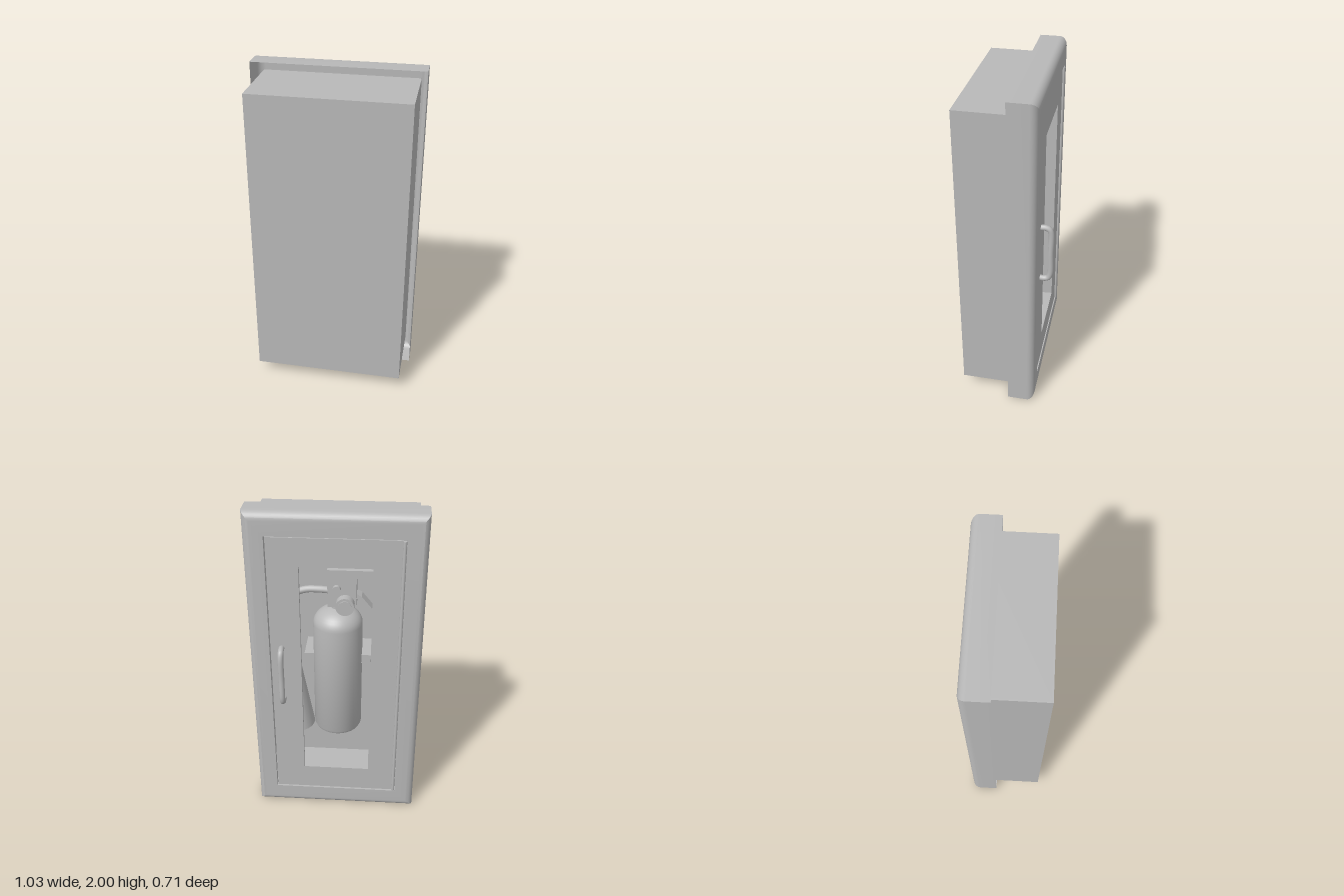
import * as THREE from 'three';
import { toCreasedNormals } from 'three/addons/utils/BufferGeometryUtils.js';

const CX = -0.0105; // centre line of the cabinet

export function createModel() {
  const grey = new THREE.MeshStandardMaterial({ color: 0xb8b8b8, side: THREE.DoubleSide });
  grey.name = 'plain grey';

  const model = new THREE.Group();
  model.name = 'extinguisherCabinet';
  const cabinet = new THREE.Group();
  cabinet.name = 'cabinet';
  cabinet.rotation.y = Math.PI + Math.PI / 12; // the door looks to the back, turned 15 degrees
  model.add(cabinet);

  const add = (name, geometry, x = 0, y = 0, z = 0) => {
    const mesh = new THREE.Mesh(geometry, grey);
    mesh.name = name;
    mesh.position.set(x, y, z);
    cabinet.add(mesh);
    return mesh;
  };
  const box = (name, x0, x1, y0, y1, z0, z1) =>
    add(name, new THREE.BoxGeometry(x1 - x0, y1 - y0, z1 - z0), (x0 + x1) / 2, (y0 + y1) / 2, (z0 + z1) / 2);
  const tube = (name, points, radius) => {
    const curve = new THREE.CatmullRomCurve3(points.map((p) => new THREE.Vector3(...p)), false, 'centripetal');
    return add(name, new THREE.TubeGeometry(curve, 48, radius, 14));
  };
  const lathe = (name, profile, x, y, z) =>
    add(name, toCreasedNormals(new THREE.LatheGeometry(profile.map((p) => new THREE.Vector2(...p)), 48), 0.6), x, y, z);

  // Recessed tub, open towards the door
  const [L, R, B, T, zb, zf] = [CX - 0.458, CX + 0.458, 0.09, 1.915, -0.243, 0.195];
  const t = 0.01;
  box('tubBack', L, R, B, T, zb, zb + t);
  box('tubSideRight', L, L + t, B, T, zb, zf);
  box('tubSideLeft', R - t, R, B, T, zb, zf);
  box('tubFloor', L, R, B, B + t, zb, zf);
  box('tubRoof', L, R, T - t, T, zb, zf);

  // Hollow trim frame: a rounded profile of [inset, z] carried round a mitred rectangle
  const profile = [[0, 0.05]];
  for (let i = 0; i <= 8; i++) {
    const a = (i / 8) * Math.PI / 2;
    profile.push([0.045 * (1 - Math.cos(a)), 0.168 + 0.045 * Math.sin(a)]);
  }
  profile.push([0.118, 0.213], [0.118, 0.18]);
  const corners = [[-1, -1], [1, -1], [1, 1], [-1, 1]];
  const at = ([sx, sy], [d, z]) => [CX + sx * (0.5 - d), 1 + sy * (1 - d * 1.12), z];
  const positions = [];
  corners.forEach((c, i) => {
    const next = corners[(i + 1) % 4];
    for (let j = 0; j < profile.length - 1; j++) {
      const [p, q] = [profile[j], profile[j + 1]];
      const [a, b, e, f] = [at(c, p), at(next, p), at(next, q), at(c, q)];
      positions.push(...a, ...b, ...e, ...a, ...e, ...f);
    }
  });
  const trim = new THREE.BufferGeometry();
  trim.setAttribute('position', new THREE.Float32BufferAttribute(positions, 3));
  add('trimFrame', toCreasedNormals(trim, 0.5));

  // Door with an open window
  const rect = (path, x0, x1, y0, y1) =>
    path.moveTo(x0, y0).lineTo(x1, y0).lineTo(x1, y1).lineTo(x0, y1).closePath();
  const door = new THREE.Shape();
  rect(door, CX - 0.376, CX + 0.362, 0.138, 1.862);
  const hole = new THREE.Path();
  rect(hole, -0.21, 0.196, 0.3, 1.695);
  door.holes.push(hole);
  add('door', new THREE.ExtrudeGeometry(door, { depth: 0.026, bevelEnabled: false }), 0, 0, 0.181);

  // Hinge rod and pull handle
  add('hinge', new THREE.CylinderGeometry(0.01, 0.01, 1.72, 16), 0.36, 1, 0.211);
  tube('handle', [
    [-0.322, 0.83, 0.2], [-0.322, 0.829, 0.235], [-0.322, 0.838, 0.255], [-0.322, 0.865, 0.266],
    [-0.322, 1.0, 0.266], [-0.322, 1.145, 0.266], [-0.322, 1.172, 0.255], [-0.322, 1.181, 0.235], [-0.322, 1.18, 0.2],
  ], 0.017);

  // Extinguisher bottle
  const [ex, ez] = [-0.014, -0.057];
  const bottle = [[0, 0.47], [0.12, 0.47], [0.14, 0.48], [0.15, 0.5], [0.15, 1.22]];
  for (let i = 1; i <= 8; i++) {
    const a = (i / 8) * 1.3;
    bottle.push([0.15 * Math.cos(a), 1.22 + 0.11 * Math.sin(a)]);
  }
  bottle.push([0.04, 1.4], [0, 1.4]);
  lathe('bottle', bottle, ex, 0, ez);

  // Wall bracket with clasping tabs
  box('bracketPlate', ex - 0.06, ex + 0.06, 0.8, 1.15, zb, ez - 0.14);
  for (const s of [-1, 1]) {
    const x = ex + s * 0.175;
    box('bracketTab', x - 0.03, x + 0.03, 0.95, 1.01, zb, ez + 0.03);
  }

  // Valve, gauge and pin
  box('valveBody', -0.07, 0.1, 1.36, 1.58, -0.1, 0.02);
  const disc = (name, r, depth, x, y, z) => {
    add(name, new THREE.CylinderGeometry(r, r, depth, 28), x, y, z).rotation.x = Math.PI / 2;
  };
  disc('gauge', 0.055, 0.06, 0.035, 1.387, 0.043);
  disc('gaugeFace', 0.04, 0.008, 0.035, 1.387, 0.076);
  disc('safetyPin', 0.024, 0.03, -0.015, 1.48, 0.03);

  // Carrying grip above, squeeze lever below
  box('carryGrip', -0.07, 0.26, 1.55, 1.6, -0.1, 0.03);
  const lever = new THREE.Shape();
  [[0.06, 1.46], [0.13, 1.42], [0.26, 1.26], [0.33, 1.22], [0.32, 1.2], [0.245, 1.24], [0.12, 1.395], [0.06, 1.43]]
    .forEach(([x, y], i) => (i ? lever.lineTo(x, y) : lever.moveTo(x, y)));
  add('squeezeLever', new THREE.ExtrudeGeometry(lever, { depth: 0.07, bevelEnabled: false }), 0, 0, -0.075);

  // Hose and discharge horn
  tube('hose', [
    [-0.05, 1.44, -0.04], [-0.12, 1.445, -0.04], [-0.2, 1.44, -0.045], [-0.265, 1.41, -0.05],
    [-0.295, 1.33, -0.055], [-0.295, 1.2, -0.057], [-0.292, 1.08, -0.057],
  ], 0.021);
  lathe('horn', [[0, 1.12], [0.028, 1.12], [0.03, 1.0], [0.125, 0.47], [0.115, 0.47], [0.02, 1.0]], -0.292, 0, ez);

  return model;
}
